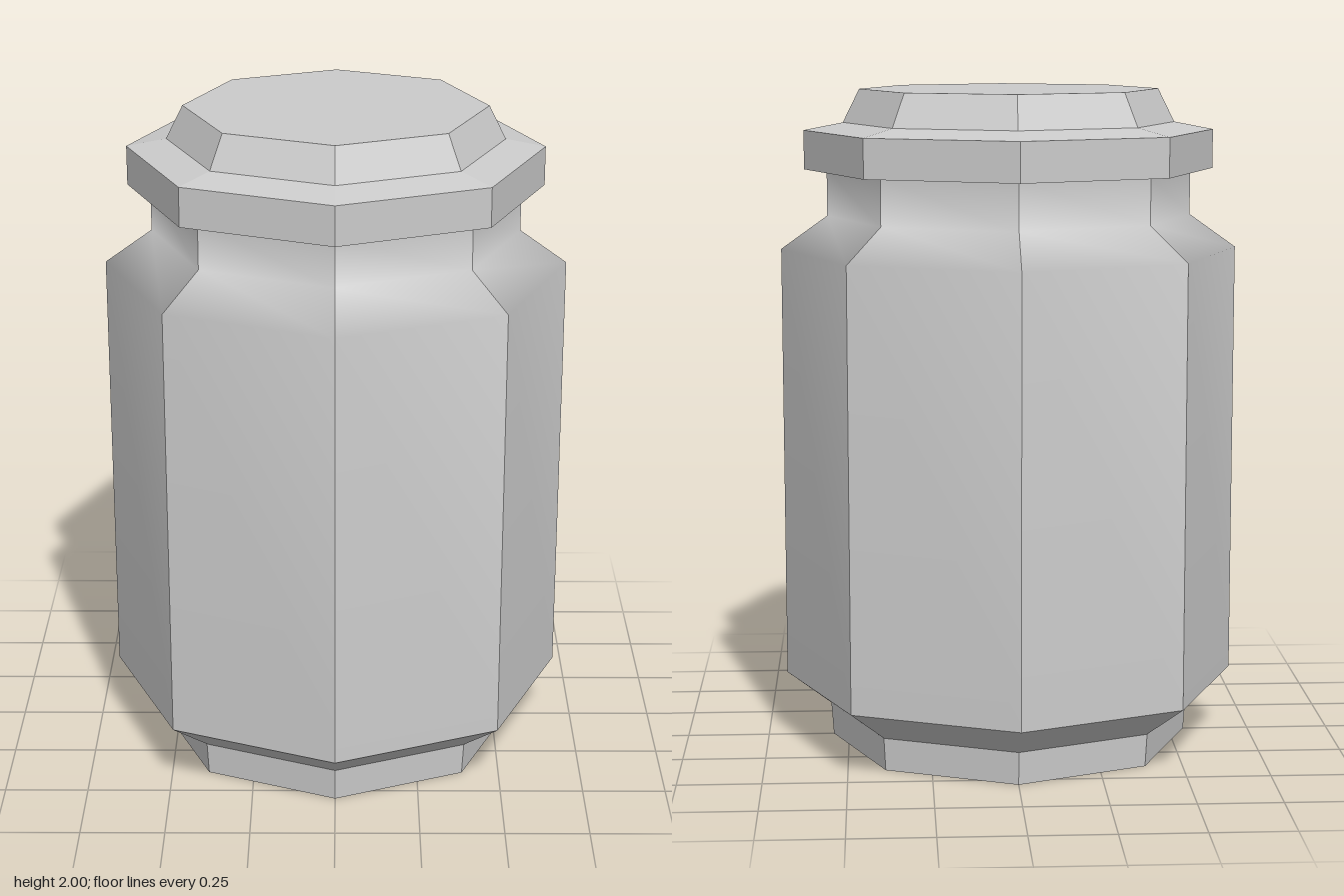
import * as THREE from 'three';
import { mergeGeometries } from 'three/addons/utils/BufferGeometryUtils.js';

const SIDES = 8;
const toPoints = (profile) => profile.map(([r, y]) => new THREE.Vector2(r, y));

// Octagonal surface with hard edges everywhere
function faceted(name, profile) {
  const geometry = new THREE.LatheGeometry(toPoints(profile), SIDES);
  const material = new THREE.MeshStandardMaterial({ color: 0xcccccc, flatShading: true });
  const mesh = new THREE.Mesh(geometry, material);
  mesh.name = name;
  return mesh;
}

// Octagonal surface with hard vertical edges, smooth along the height of each side
function smoothPanels(name, profile) {
  const step = (Math.PI * 2) / SIDES;
  const panels = [];
  for (let i = 0; i < SIDES; i++) {
    const panel = new THREE.LatheGeometry(toPoints(profile), 1, i * step, step);
    panel.computeVertexNormals();
    panels.push(panel);
  }
  const mesh = new THREE.Mesh(
    mergeGeometries(panels),
    new THREE.MeshStandardMaterial({ color: 0xcccccc })
  );
  mesh.name = name;
  return mesh;
}

export function createModel() {
  const jar = new THREE.Group();
  jar.name = 'jar';

  // Foot and chamfer that widens into the body
  jar.add(faceted('foot', [[0, 0], [0.548, 0], [0.555, 0.1], [0.69, 0.2]]));

  // Body walls, soft shoulder and neck
  jar.add(smoothPanels('body', [[0.69, 0.2], [0.69, 1.52], [0.55, 1.62], [0.55, 1.76]]));

  // Lid: underside, rim, sloped ledge and raised tapered top
  jar.add(faceted('lid', [
    [0, 1.76], [0.618, 1.76], [0.618, 1.877], [0.5, 1.9], [0.45, 2], [0, 2],
  ]));

  return jar;
}
